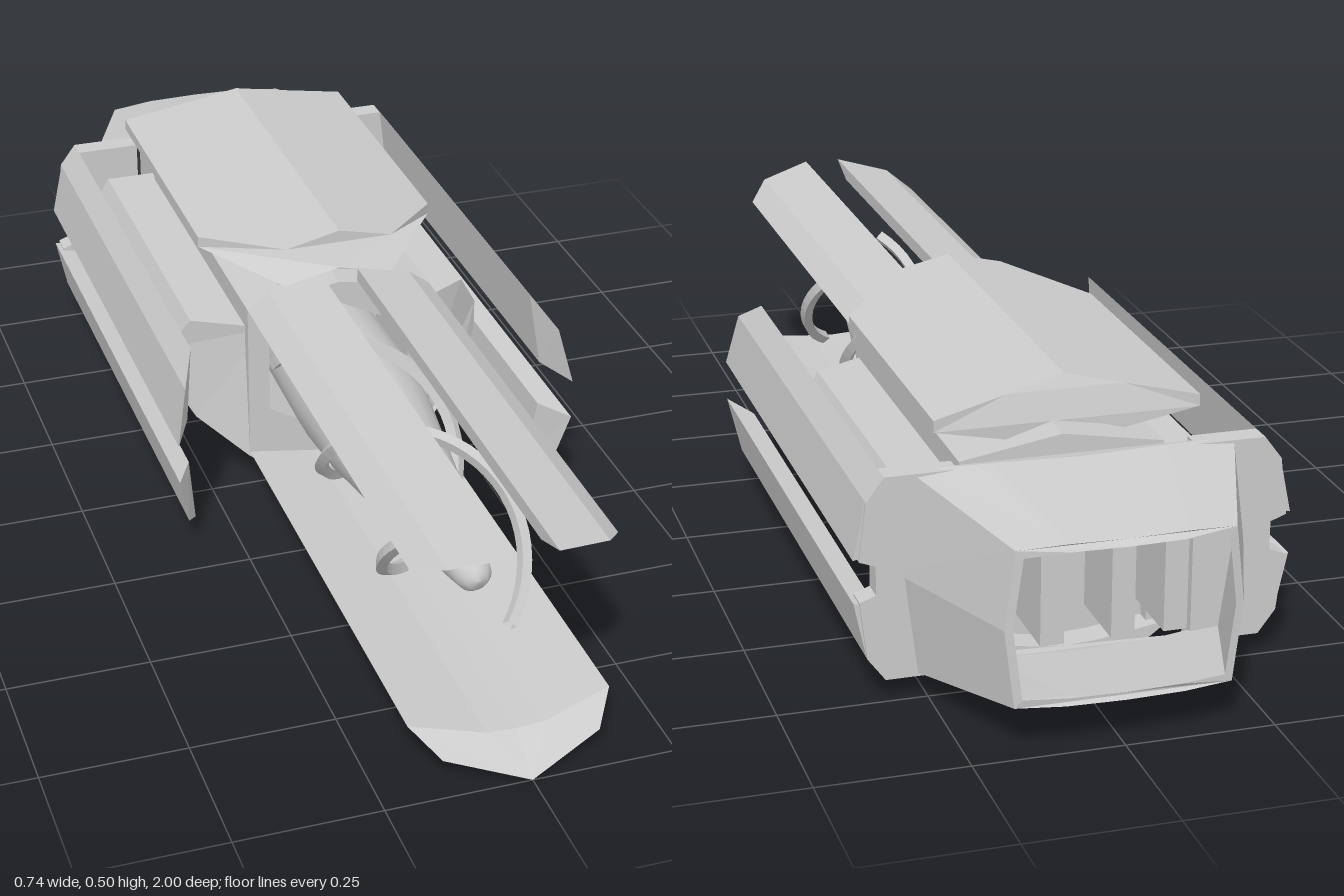
import * as THREE from 'three';

const mat = new THREE.MeshStandardMaterial({ color: 0xcccccc, flatShading: true, side: THREE.DoubleSide });
const smoothMat = new THREE.MeshStandardMaterial({ color: 0xcccccc, side: THREE.DoubleSide });
const AXIS = 0.215;

// Extrudes an x/y outline; front(x, y) and back(x, y) give the end z, or a moved [x, y, z]
function prism(name, outline, front, back, hole) {
  const toPath = (pts) => pts.map(([x, y]) => new THREE.Vector2(x, y));
  const shape = new THREE.Shape(toPath(outline));
  if (hole) shape.holes.push(new THREE.Path(toPath(hole)));
  const geo = new THREE.ExtrudeGeometry(shape, { depth: 1, bevelEnabled: false, curveSegments: 1 });
  const p = geo.attributes.position;
  for (let i = 0; i < p.count; i++) {
    const x = p.getX(i), y = p.getY(i);
    const end = (p.getZ(i) > 0.5 ? front : back)(x, y);
    if (Array.isArray(end)) p.setXYZ(i, ...end);
    else p.setZ(i, end);
  }
  geo.computeVertexNormals();
  const mesh = new THREE.Mesh(geo, mat);
  mesh.name = name;
  return mesh;
}

// Completes a right-half outline with its mirror image
const mirrored = (half) => [...half, ...half.filter(([x]) => x > 0).reverse().map(([x, y]) => [-x, y])];

function box(name, w, h, d, x, y, z) {
  const mesh = new THREE.Mesh(new THREE.BoxGeometry(w, h, d), mat);
  mesh.position.set(x, y, z);
  mesh.name = name;
  return mesh;
}

export function createModel() {
  const model = new THREE.Group();

  // Central body with a six-sided socket
  const socket = mirrored([[0, 0.08], [0.135, 0.155], [0.135, 0.29], [0, 0.358]]);
  const core = mirrored([[0, 0.045], [0.05, 0.045], [0.175, 0.07], [0.175, 0.37], [0, 0.4]]);
  model.add(prism('body', core, () => 0, () => -0.67, socket));
  model.add(box('socketFloor', 0.3, 0.3, 0.03, 0, AXIS, -0.2));
  model.add(box('bodyRear', 0.34, 0.3, 0.02, 0, AXIS, -0.665));

  // Roof plate, pointed in section and tapering to the front
  const roof = mirrored([[0, 0.43], [0.1, 0.405], [0.225, 0.435], [0.225, 0.455], [0.1, 0.482], [0, 0.505]]);
  model.add(prism('roofPlate', roof,
    (x) => (Math.abs(x) > 0.15 ? -0.15 : 0),
    (x) => -0.67 - 0.12 * Math.abs(x)));
  model.add(box('roofMount', 0.2, 0.05, 0.55, 0, 0.4, -0.33));

  // Keel: forward blade, then an underside rising to the rear
  const keel = mirrored([[0, 0.002], [0.135, 0.035], [0.175, 0.07], [0.05, 0.05], [0, 0.047]]);
  const keelTip = (x, y) => {
    const ax = Math.abs(x);
    if (ax > 0.15) return 0.89;
    if (ax > 0.1) return 0.95;
    return y > 0.03 ? 0.92 : 1;
  };
  model.add(prism('lowerBlade', keel, keelTip, () => 0));
  model.add(prism('keel', keel, () => 0, (x, y) => [x, Math.max(y, 0.04), -0.72]));

  for (const s of [1, -1]) {
    const flip = (pts) => pts.map(([x, y]) => [s * x, y]);

    // Upper blade with an undercut tip
    model.add(prism('upperBlade',
      flip([[0.035, 0.397], [0.175, 0.37], [0.135, 0.4], [0.035, 0.423]]),
      (x, y) => (Math.abs(x) > 0.15 ? 0.89 : Math.abs(x) > 0.1 ? 0.95 : y > 0.41 ? 0.985 : 0.91),
      () => 0));

    // Side pod with a swept front
    model.add(prism('sidePod',
      flip([[0.14, 0.037], [0.175, 0.06], [0.26, 0.125], [0.305, 0.2], [0.305, 0.26], [0.265, 0.328], [0.14, 0.328]]),
      (x) => -0.1 * Math.max(0, (Math.abs(x) - 0.175) / 0.13),
      () => -0.7));

    // Pair of outer side blades, mirrored about the axis height
    for (const v of [1, -1]) {
      const blade = [[0.32, 0.175], [0.35, 0.135], [0.371, 0.037], [0.335, 0.044]];
      model.add(prism('sideBlade',
        flip(blade.map(([x, h]) => [x, AXIS + v * h])),
        (x, y) => {
          const h = Math.abs(y - AXIS);
          return h > 0.16 ? 0.14 : h > 0.1 ? 0.21 : Math.abs(x) > 0.36 ? 0.235 : 0.16;
        },
        () => -0.745));
    }

    // Bracket holding the side blades to the rear housing
    model.add(prism('bladeBracket',
      flip([[0.2, 0.04], [0.32, 0.04], [0.35, 0.08], [0.362, 0.18], [0.335, 0.19], [0.335, 0.24], [0.362, 0.25], [0.35, 0.35], [0.32, 0.39], [0.2, 0.39]]),
      () => -0.71, () => -0.75));

    // Ribs between body and rear housing
    for (const x of [0.06, 0.15]) model.add(box('rearRib', 0.04, 0.24, 0.16, s * x, AXIS, -0.73));
  }

  // Hollow rear housing narrowing to the tail
  const outer = mirrored([[0, 0.038], [0.15, 0.038], [0.275, 0.042], [0.3, AXIS], [0.275, 0.388], [0.15, 0.395], [0, 0.395]]);
  const inner = outer.map(([x, y]) => [x * 0.93, AXIS + (y - AXIS) * 0.9]);
  model.add(prism('rearHousing', outer,
    (x) => -0.76 + 0.45 * x * x,
    (x, y) => [x * 0.65, AXIS + (y - AXIS) * 0.76, -1 + 0.4 * (x * 0.65) ** 2],
    inner));

  // Tapered spindle with a rounded tip
  const profile = [[0.11, -0.2], [0.115, 0.1], [0.106, 0.23], [0.075, 0.45], [0.036, 0.69], [0.03, 0.72], [0.018, 0.735], [0, 0.74]];
  const spindle = new THREE.Mesh(
    new THREE.LatheGeometry(profile.map(([r, z]) => new THREE.Vector2(r, z)), 20), smoothMat);
  spindle.rotation.x = Math.PI / 2;
  spindle.position.y = AXIS;
  spindle.name = 'spindle';
  model.add(spindle);

  // Two opposed spiral strands around the spindle
  for (const phase of [0, Math.PI]) {
    const pts = [];
    for (let i = 0; i <= 32; i++) {
      const z = 0.73 - (i / 32) * 0.75;
      const a = (z - 0.455) * (2 * Math.PI / 0.66) + phase;
      pts.push(new THREE.Vector3(0.122 * Math.sin(a), AXIS + 0.122 * Math.cos(a), z));
    }
    const strand = new THREE.Mesh(
      new THREE.TubeGeometry(new THREE.CatmullRomCurve3(pts), 48, 0.013, 4), mat);
    strand.name = 'spiralStrand';
    model.add(strand);
  }

  return model;
}
